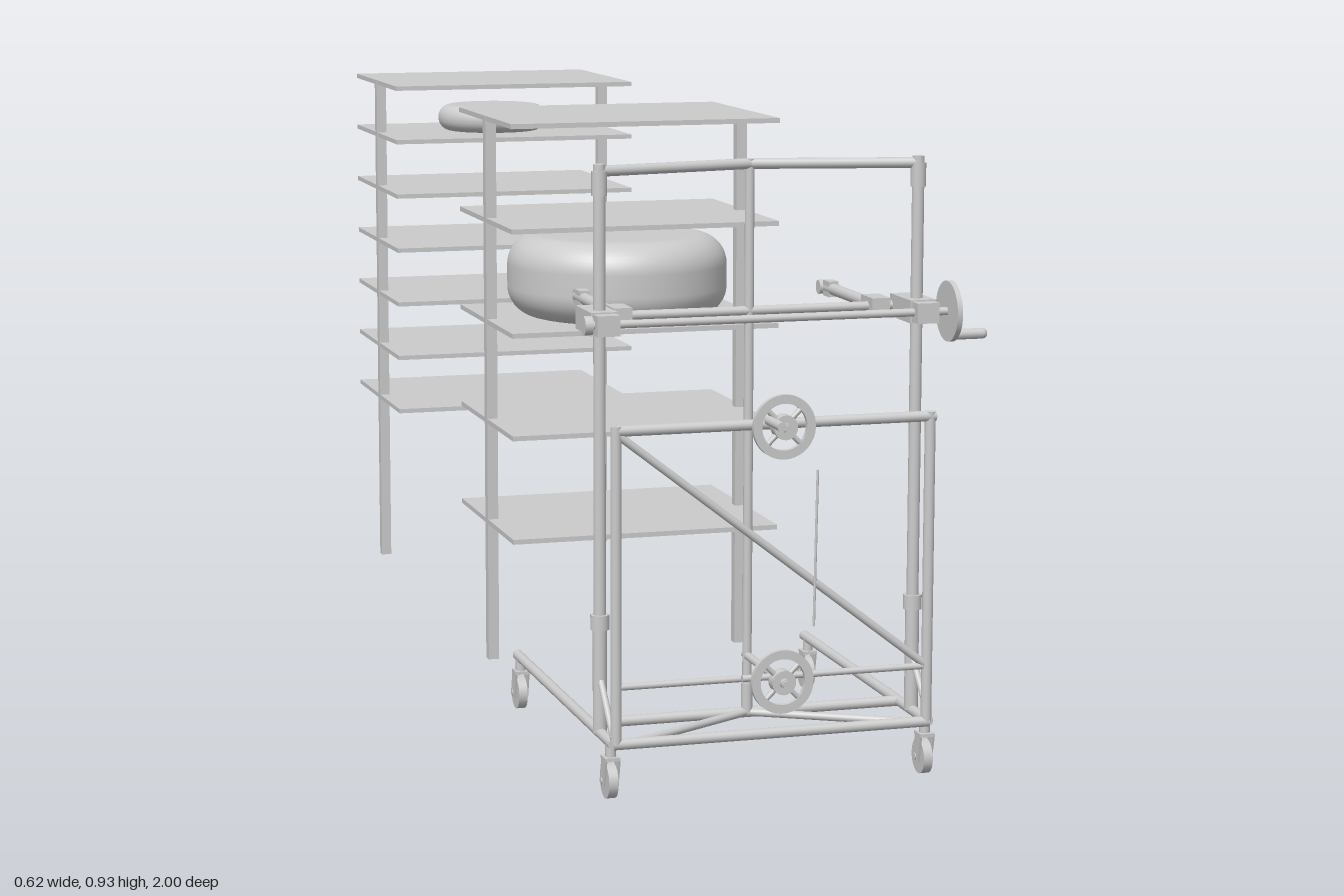
import * as THREE from 'three';

const mat = new THREE.MeshStandardMaterial({ color: 0xcccccc });
const CX = -0.034; // symmetry plane of racks and cart
const HALF = 0.243; // half the cart width
const V = (x, y, z) => new THREE.Vector3(x, y, z);

function add(parent, name, geometry, x = 0, y = 0, z = 0) {
  const mesh = new THREE.Mesh(geometry, mat);
  mesh.name = name;
  mesh.position.set(x, y, z);
  parent.add(mesh);
  return mesh;
}

const box = (parent, name, w, h, d, x, y, z) =>
  add(parent, name, new THREE.BoxGeometry(w, h, d), x, y, z);

// Round bar between two points
function rod(parent, name, a, b, r, sides = 16) {
  const dir = b.clone().sub(a);
  const mesh = add(parent, name, new THREE.CylinderGeometry(r, r, dir.length(), sides));
  mesh.position.copy(a).add(b).multiplyScalar(0.5);
  mesh.quaternion.setFromUnitVectors(V(0, 1, 0), dir.normalize());
  return mesh;
}

// Solid round with filleted rims
function roundDisc(parent, name, radius, height, fillet, y, z) {
  const pts = [new THREE.Vector2(0, 0)];
  for (const [cy, start] of [[fillet, -Math.PI / 2], [height - fillet, 0]])
    for (let i = 0; i <= 10; i++) {
      const a = start + (i / 10) * Math.PI / 2;
      pts.push(new THREE.Vector2(radius - fillet + Math.cos(a) * fillet, cy + Math.sin(a) * fillet));
    }
  pts.push(new THREE.Vector2(0, height));
  add(parent, name, new THREE.LatheGeometry(pts, 56), 0, y, z);
}

// Two posts carrying flat shelves
function makeRack(name, z, depth, levels) {
  const rack = new THREE.Group();
  rack.name = name;
  rack.position.x = CX;
  for (const s of [-1, 1]) box(rack, 'rackPost', 0.018, 0.916, 0.018, s * 0.2175, 0.47, z);
  for (const y of levels) box(rack, 'shelf', 0.452, 0.008, depth, 0, y, z);
  return rack;
}

function makeCaster(x, z) {
  const g = new THREE.Group();
  g.name = 'caster';
  g.position.set(x, 0, z);
  rod(g, 'casterWheel', V(-0.007, 0.026, -0.008), V(0.007, 0.026, -0.008), 0.026, 24);
  rod(g, 'casterAxle', V(-0.013, 0.026, -0.008), V(0.013, 0.026, -0.008), 0.005);
  for (const s of [-1, 1]) {
    const side = box(g, 'casterFork', 0.003, 0.042, 0.022, s * 0.01, 0.042, -0.003);
    side.rotation.x = 0.25;
  }
  box(g, 'casterCrown', 0.023, 0.005, 0.026, 0, 0.062, 0);
  rod(g, 'casterStem', V(0, 0.06, 0), V(0, 0.082, 0), 0.008);
  return g;
}

// Spoked hand wheel facing +z
function makeHandWheel(name, y, z) {
  const g = new THREE.Group();
  g.name = name;
  g.position.set(0, y, z);
  const ring = new THREE.Shape().absarc(0, 0, 0.047, 0, Math.PI * 2);
  ring.holes.push(new THREE.Path().absarc(0, 0, 0.034, 0, Math.PI * 2, true));
  const rim = new THREE.ExtrudeGeometry(ring, { depth: 0.008, bevelEnabled: false, curveSegments: 32 });
  add(g, 'wheelRim', rim, 0, 0, -0.004);
  rod(g, 'wheelHub', V(0, 0, -0.01), V(0, 0, 0.01), 0.018, 24);
  rod(g, 'hubCap', V(0, 0, 0.01), V(0, 0, 0.018), 0.007);
  for (let i = 0; i < 4; i++) {
    const a = Math.PI / 4 + i * Math.PI / 2;
    rod(g, 'wheelSpoke', V(0, 0, 0), V(Math.cos(a) * 0.037, Math.sin(a) * 0.037, 0), 0.004, 10);
  }
  return g;
}

function makeCart() {
  const cart = new THREE.Group();
  cart.name = 'liftCart';
  cart.position.x = CX;
  const FZ = 0.903, MZ = 0.83, RZ = 0.778, BY = 0.085, AY = 0.693;

  for (const s of [-1, 1]) {
    const x = s * HALF;
    // Base rail, front upright and casters
    rod(cart, 'baseRail', V(x, BY, FZ), V(x, BY, 0.335), 0.008);
    rod(cart, 'frontUpright', V(s * 0.239, BY, FZ), V(s * 0.239, 0.552, FZ), 0.008);
    cart.add(makeCaster(x, 0.888), makeCaster(x, 0.355));
    // Mast with collars
    rod(cart, 'mast', V(x, BY, MZ), V(x, 0.92, MZ), 0.009);
    rod(cart, 'mastFoot', V(x, BY, MZ), V(x, 0.25, MZ), 0.0105);
    rod(cart, 'mastCollar', V(x, 0.24, MZ), V(x, 0.262, MZ), 0.014);
    rod(cart, 'mastTopCollar', V(x, 0.875, MZ), V(x, 0.91, MZ), 0.0115);
    // Braces
    rod(cart, 'sideBrace', V(x, 0.095, FZ), V(x, 0.17, MZ), 0.005);
    rod(cart, 'baseBrace', V(s * 0.22, BY, FZ), V(0, BY, RZ), 0.006);
    // Top beam, running back to the centre rod
    rod(cart, 'topBeam', V(x, 0.91, MZ), V(0, 0.91, RZ), 0.008);
    // Sliding carriage blocks and arms
    box(cart, 'carriageBlock', 0.04, 0.034, 0.085, x, AY, 0.815);
    box(cart, 'shaftBearing', 0.034, 0.03, 0.035, x, AY, 0.863);
    box(cart, 'armBlock', 0.028, 0.028, 0.05, s * 0.199, AY, 0.775);
    rod(cart, 'arm', V(s * 0.199, AY, 0.78), V(s * 0.199, AY, 0.55), 0.009);
    box(cart, 'armTip', 0.016, 0.024, 0.028, s * 0.199, AY, 0.575);
    rod(cart, 'gripPin', V(s * 0.206, AY, 0.553), V(s * 0.186, AY, 0.553), 0.011);
  }

  // Cross bars
  rod(cart, 'baseFrontBar', V(-HALF, BY, FZ), V(HALF, BY, FZ), 0.008);
  rod(cart, 'baseRearBar', V(-HALF, BY, RZ), V(HALF, BY, RZ), 0.008);
  rod(cart, 'frontTopBar', V(-0.239, 0.545, FZ), V(0.247, 0.545, FZ), 0.008);
  rod(cart, 'frontLowerBar', V(-0.239, 0.17, FZ), V(0.239, 0.17, FZ), 0.005);
  rod(cart, 'frontDiagonal', V(-0.237, 0.54, FZ), V(0.239, 0.17, FZ), 0.006);
  rod(cart, 'centreRod', V(0, BY, RZ), V(0, 0.917, RZ), 0.007);
  rod(cart, 'centreRodFoot', V(0, BY, RZ), V(0, 0.13, RZ), 0.0085);

  // Carriage shafts and turning crank
  rod(cart, 'frontShaft', V(-0.276, AY, 0.863), V(0.282, AY, 0.863), 0.006);
  rod(cart, 'rearShaft', V(-HALF, AY, RZ), V(HALF, AY, RZ), 0.007);
  rod(cart, 'shaftCap', V(-0.276, AY, 0.863), V(-0.264, AY, 0.863), 0.014);
  rod(cart, 'crankDisc', V(0.278, AY, 0.863), V(0.286, AY, 0.863), 0.045, 32);
  rod(cart, 'crankHandlePin', V(0.284, 0.657, 0.858), V(0.3, 0.657, 0.858), 0.004);
  const grip = add(cart, 'crankHandle', new THREE.CapsuleGeometry(0.008, 0.036, 6, 16), 0.318, 0.657, 0.858);
  grip.rotation.z = Math.PI / 2;

  // Hand wheels, axles and handle
  cart.add(makeHandWheel('upperHandWheel', 0.547, 0.943), makeHandWheel('lowerWheel', 0.172, 0.943));
  rod(cart, 'upperAxle', V(0, 0.547, 0.895), V(0, 0.547, 0.965), 0.006);
  rod(cart, 'lowerAxle', V(0, 0.172, RZ - 0.01), V(0, 0.172, 0.965), 0.006);
  rod(cart, 'wheelHandle', V(-0.022, 0.557, 0.94), V(-0.022, 0.557, 1.0), 0.007);
  rod(cart, 'lowerWheelPin', V(-0.057, 0.177, 0.93), V(0.057, 0.177, 0.93), 0.005);
  rod(cart, 'driveCord', V(0.051, 0.482, 0.945), V(0.047, 0.252, 0.945), 0.002, 8);
  return cart;
}

export function createModel() {
  const model = new THREE.Group();
  model.name = 'liftCartAndRacks';

  const wide = makeRack('wideRack', 0.06, 0.366, [0.926, 0.757, 0.588, 0.42, 0.249]);
  roundDisc(wide, 'largeRound', 0.184, 0.137, 0.05, 0.592, 0.064);

  const close = makeRack('closeRack', -0.817, 0.366, [0.926, 0.827, 0.726, 0.625, 0.524, 0.423, 0.322]);
  roundDisc(close, 'smallRound', 0.103, 0.049, 0.0235, 0.831, -0.815);

  model.add(wide, close, makeCart());
  return model;
}
